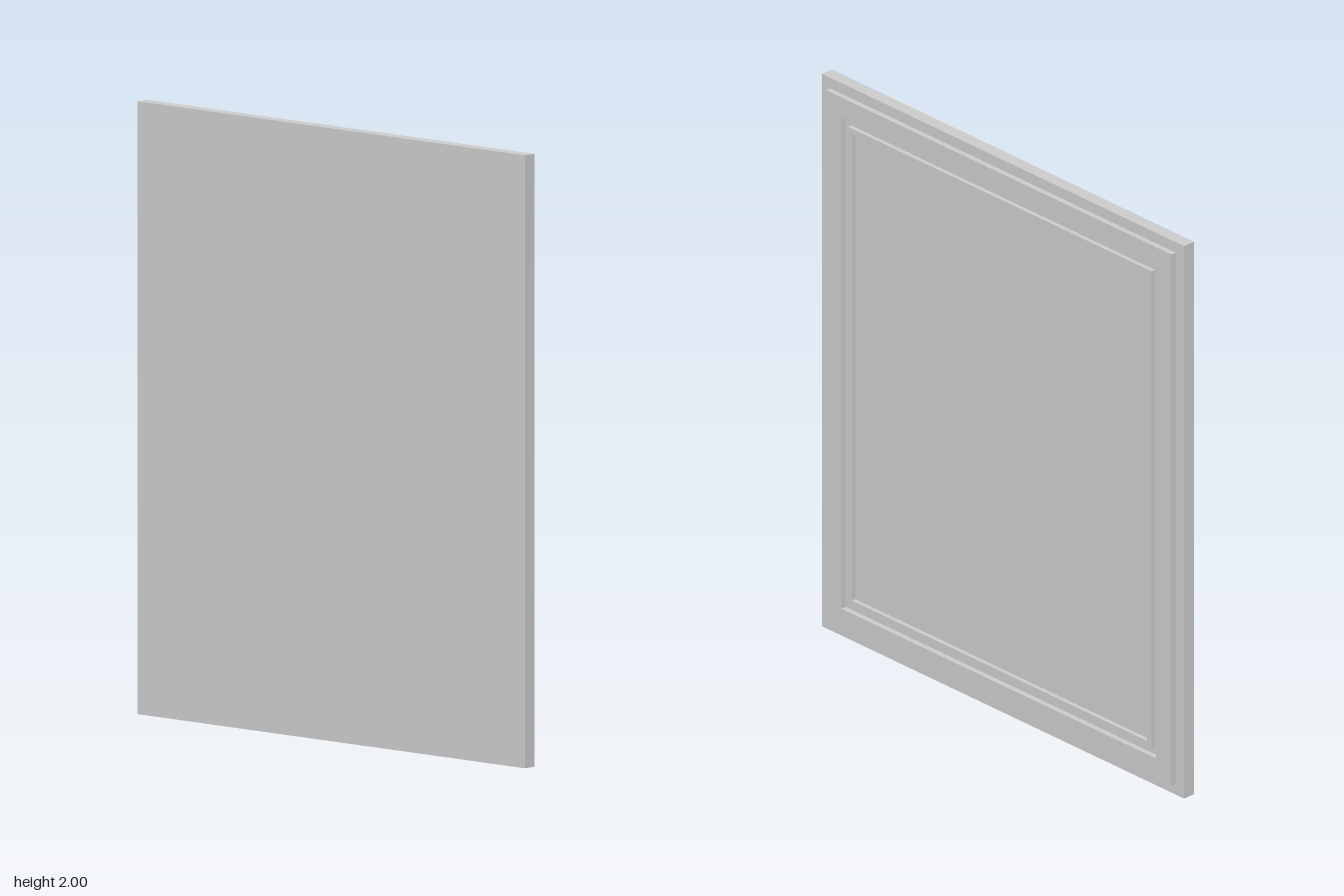
import * as THREE from 'three';

const WIDTH = 1.69, HEIGHT = 2;
const FRONT = 0.032, SLAB_BACK = -0.013, RIM_BACK = -0.032, BEAD_BACK = -0.028;

// Corners of the door outline pulled in by a margin
function corners(inset) {
  const x = WIDTH / 2 - inset, y = HEIGHT / 2 - inset;
  return [[-x, -y], [x, -y], [x, y], [-x, y]].map(([a, b]) => new THREE.Vector2(a, b));
}

// Rectangular ring between two margins, standing proud of the slab's back
function ring(name, outer, inner, back, material) {
  const shape = new THREE.Shape(corners(outer));
  shape.holes.push(new THREE.Path(corners(inner).reverse()));
  const geometry = new THREE.ExtrudeGeometry(shape, { depth: SLAB_BACK - back, bevelEnabled: false });
  const mesh = new THREE.Mesh(geometry, material);
  mesh.name = name;
  mesh.position.set(0, HEIGHT / 2, back);
  return mesh;
}

export function createModel() {
  const group = new THREE.Group();
  group.name = 'panel';
  const material = new THREE.MeshStandardMaterial({ color: 0xcccccc });

  // Flat slab forming the plain front
  const slab = new THREE.Mesh(new THREE.BoxGeometry(WIDTH, HEIGHT, FRONT - SLAB_BACK), material);
  slab.name = 'slab';
  slab.position.set(0, HEIGHT / 2, (FRONT + SLAB_BACK) / 2);
  group.add(slab);

  // Broad raised rim, then a groove and a thin bead around the central field
  group.add(ring('raisedRim', 0.038, 0.111, RIM_BACK, material));
  group.add(ring('innerBead', 0.136, 0.156, BEAD_BACK, material));
  return group;
}
